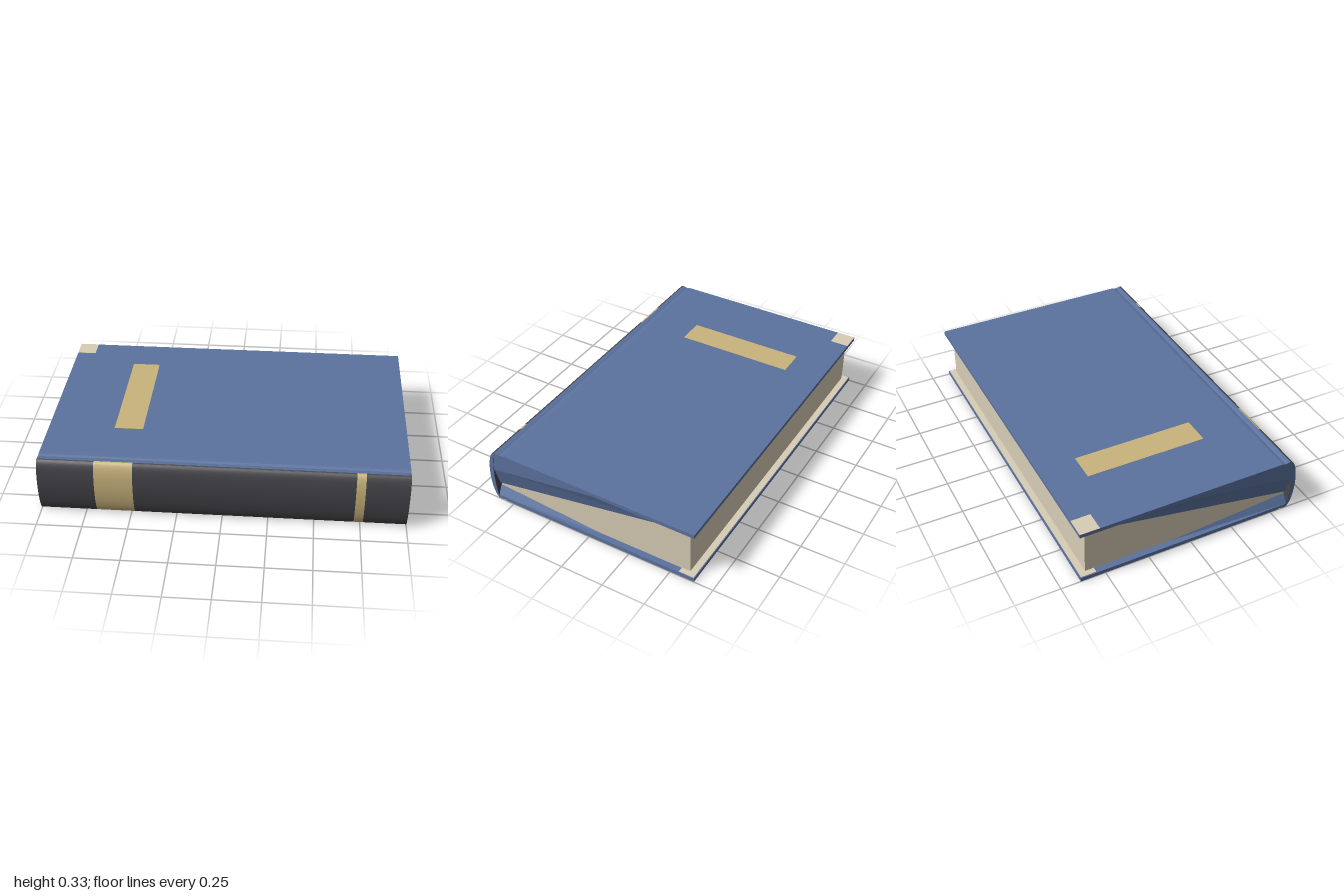
import * as THREE from 'three';

export function createModel() {
  const book = new THREE.Group();
  book.name = 'book';

  const material = (name, color) => {
    const m = new THREE.MeshStandardMaterial({ color });
    m.name = name;
    return m;
  };
  const blue = material('blue cloth', 0x5c739f);
  blue.side = THREE.DoubleSide; // also used on the thin end linings
  const dark = material('dark spine', 0x444449);
  const gold = material('gold', 0xc9b47c);
  const cream = material('cream paper', 0xd8ceb6);

  const H = 0.327, T = 0.022, BACK = -0.64, HINGE = 0.59;
  const PAGE_X = 0.965, PAGE_BACK = -0.6;

  const add = (name, geometry, mat) => {
    const mesh = new THREE.Mesh(geometry, mat);
    mesh.name = name;
    book.add(mesh);
    return mesh;
  };

  // Box given by its limits
  const block = (name, x0, x1, y0, y1, z0, z1, mat) => {
    const g = new THREE.BoxGeometry(x1 - x0, y1 - y0, z1 - z0);
    g.translate((x0 + x1) / 2, (y0 + y1) / 2, (z0 + z1) / 2);
    return add(name, g, mat);
  };

  // Extrude a (z, y) profile along x
  const alongX = (shape, x0, x1) => {
    const g = new THREE.ExtrudeGeometry(shape, { depth: x1 - x0, bevelEnabled: false, curveSegments: 20 });
    g.rotateY(-Math.PI / 2);
    g.translate(x1, 0, 0);
    return g;
  };

  // Cover boards, with a shallow hinge groove beside the spine
  const boardProfile = (y) => new THREE.Shape([
    [BACK, y(0)], [BACK, y(T)], [HINGE + 0.015, y(T)], [HINGE, y(0)],
    [0.575, y(0.002)], [0.56, y(0.006)], [0.545, y(0.001)], [0.53, y(0)],
  ].map(([z, h]) => new THREE.Vector2(z, h)));
  add('backCover', alongX(boardProfile((d) => d), -1, 1), blue);
  add('frontCover', alongX(boardProfile((d) => H - d), -1, 1), blue);

  // Rounded spine, cut along its length into dark and gold bands
  const spine = new THREE.Shape();
  spine.moveTo(HINGE, 0);
  spine.absellipse(HINGE, H / 2, 0.05, H / 2, -Math.PI / 2, Math.PI / 2, false);
  spine.absellipse(HINGE, H / 2, 0.022, H / 2 - 0.015, Math.PI / 2, -Math.PI / 2, true);
  const cuts = [-1, -0.69, -0.48, 0.715, 0.765, 1];
  for (let i = 0; i < cuts.length - 1; i++) {
    const banded = i % 2 === 1;
    add(banded ? 'spineBand' : 'spine', alongX(spine, cuts[i], cuts[i + 1]), [blue, banded ? gold : dark]);
  }

  // Page block
  block('pages', -PAGE_X, PAGE_X, T - 0.002, H - T + 0.002, PAGE_BACK, 0.6, cream);

  // Endpapers showing inside the overhanging boards
  block('frontEndpaper', -0.995, 0.995, H - T - 0.003, H - T, BACK + 0.004, PAGE_BACK, cream);
  block('backEndpaper', -0.995, 0.995, T, T + 0.003, BACK + 0.004, PAGE_BACK + 0.05, cream);

  // Blue lining folded between covers and pages at both ends
  const lining = (s) => {
    const out = 0.998, fit = PAGE_X + 0.003, top = H - T, pts = [];
    const tri = (...corners) => corners.forEach(([x, y, z]) => pts.push(new THREE.Vector3(s * x, y, z)));
    const a = [out, 0.2, 0.61], b = [out, top, -0.05];
    const c = [fit, top, PAGE_BACK], d = [fit, 0.085, 0.605];
    tri([out, top, 0.61], a, b);
    tri(a, d, c);
    tri(a, c, b);
    tri([fit, 0.075, 0.6], [out, T, 0.6], [fit, T, -0.1]);
    // keep faces turned outwards on both ends
    if (s < 0) for (let i = 0; i < pts.length; i += 3) [pts[i + 1], pts[i + 2]] = [pts[i + 2], pts[i + 1]];
    const g = new THREE.BufferGeometry().setFromPoints(pts);
    g.computeVertexNormals();
    return g;
  };
  add('leftEndLining', lining(1), blue);
  add('rightEndLining', lining(-1), blue);

  // Title panel and corner patches
  block('titlePanel', -0.63, -0.47, H - 0.001, H + 0.001, -0.42, 0.275, gold);
  block('frontCornerPatch', -1, -0.89, H - 0.001, H + 0.001, BACK, -0.53, cream);
  block('backCornerPatch', 0.89, 1, -0.001, 0.001, BACK, -0.53, cream);

  return book;
}
